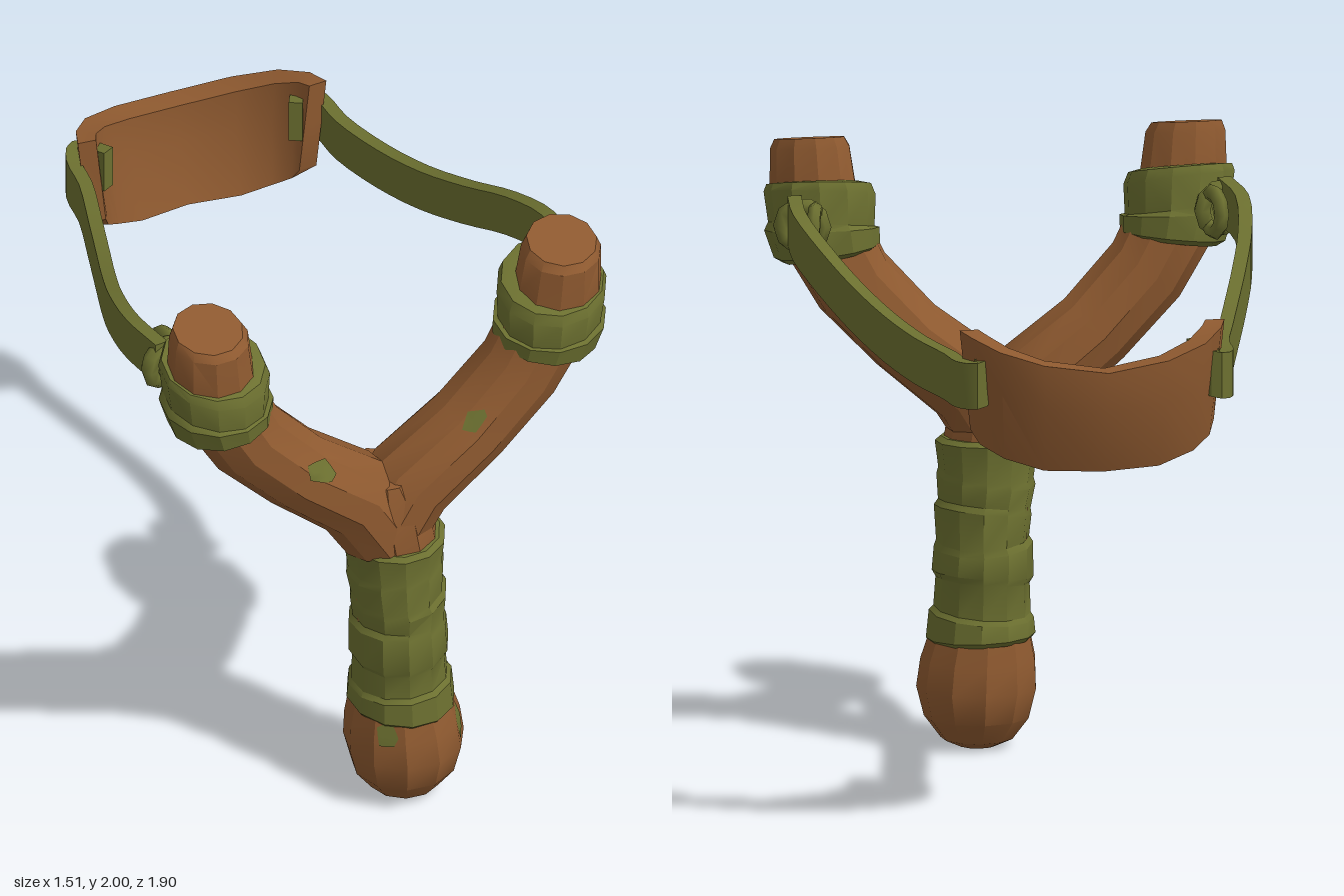
import * as THREE from 'three';
import { toCreasedNormals } from 'three/addons/utils/BufferGeometryUtils.js';

const wood = new THREE.MeshStandardMaterial({ color: 0x8f5a30 });
wood.name = 'brown wood';
const cloth = new THREE.MeshStandardMaterial({ color: 0x6c7030 });
cloth.name = 'olive cloth';

// Skin a list of rings (each an array of Vector3) and close both ends
function loft(rings, crease = 0.5) {
  const n = rings[0].length, pos = [], idx = [];
  rings.forEach(r => r.forEach(p => pos.push(p.x, p.y, p.z)));
  for (let i = 0; i < rings.length - 1; i++) {
    for (let j = 0; j < n; j++) {
      const a = i * n + j, b = i * n + (j + 1) % n;
      idx.push(a, a + n, b, b, a + n, b + n);
    }
  }
  [rings[0], rings[rings.length - 1]].forEach((r, end) => {
    const c = r.reduce((s, p) => s.add(p), new THREE.Vector3()).divideScalar(n);
    const k = pos.length / 3, o = end ? (rings.length - 1) * n : 0;
    pos.push(c.x, c.y, c.z);
    for (let j = 0; j < n; j++) {
      const a = o + j, b = o + (j + 1) % n;
      idx.push(k, ...(end ? [b, a] : [a, b]));
    }
  });
  const g = new THREE.BufferGeometry();
  g.setAttribute('position', new THREE.Float32BufferAttribute(pos, 3));
  g.setIndex(idx);
  return toCreasedNormals(g, crease);
}

// Elliptical ring: centre, radii, tilt in the xy plane, rise per unit of z
function ring([x, y, z, rx, rz, tilt = 0, slope = 0], sides = 11) {
  return Array.from({ length: sides }, (_, j) => {
    const t = (j / sides) * Math.PI * 2 + 0.2;
    const u = Math.cos(t) * rx, w = Math.sin(t) * rz;
    return new THREE.Vector3(x + u * Math.cos(tilt), y + u * Math.sin(tilt) + w * slope, z + w);
  });
}
const tubeOf = (rows, sides) => loft(rows.map(r => ring(r, sides)));

function add(parent, name, geometry, material) {
  const m = new THREE.Mesh(geometry, material);
  m.name = name;
  parent.add(m);
  return m;
}

// Flat ribbon with upright faces following a curve
function ribbon(points, halfThick, halfHeight, steps) {
  const curve = new THREE.CatmullRomCurve3(points.map(p => new THREE.Vector3(...p)));
  const up = new THREE.Vector3(0, 1, 0), rings = [];
  for (let i = 0; i <= steps; i++) {
    const p = curve.getPoint(i / steps);
    const n = curve.getTangent(i / steps).cross(up).normalize();
    rings.push([[1, -1], [1, 1], [-1, 1], [-1, -1]].map(([a, b]) =>
      p.clone().addScaledVector(n, a * halfThick).addScaledVector(up, b * halfHeight)));
  }
  return loft(rings);
}

// Thin stain laid on the front of a mesh
function stain(root, target, x, y, w, h, turn) {
  const pos = [], idx = [], n = 9, ray = new THREE.Raycaster();
  const put = (r, t) => {
    const u = Math.cos(t) * r * w, v = Math.sin(t) * r * h;
    const px = x + u * Math.cos(turn) - v * Math.sin(turn);
    const py = y + u * Math.sin(turn) + v * Math.cos(turn);
    ray.set(new THREE.Vector3(px, py, 3), new THREE.Vector3(0, 0, -1));
    const hit = ray.intersectObject(target)[0];
    pos.push(px, py, hit ? hit.point.z + 0.005 : 0.75);
  };
  put(0, 0);
  for (const r of [0.5, 1]) for (let j = 0; j < n; j++) put(r * (r === 1 && j % 2 ? 0.8 : 1), j / n * Math.PI * 2);
  for (let j = 0; j < n; j++) {
    const a = 1 + j, b = 1 + (j + 1) % n;
    idx.push(0, a, b, a, a + n, b, b, a + n, b + n);
  }
  const g = new THREE.BufferGeometry();
  g.setAttribute('position', new THREE.Float32BufferAttribute(pos, 3));
  g.setIndex(idx);
  g.computeVertexNormals();
  add(root, 'mossStain', g, cloth);
}

export function createModel() {
  const root = new THREE.Group();
  root.name = 'slingshot';

  // Handle with its rounded knob
  const handle = add(root, 'handle', tubeOf([
    [0.07, 0, 0.76, 0.06, 0.06], [0.07, 0.025, 0.76, 0.115, 0.115], [0.07, 0.095, 0.76, 0.168, 0.168],
    [0.07, 0.19, 0.76, 0.192, 0.192], [0.065, 0.28, 0.76, 0.184, 0.182], [0.06, 0.37, 0.755, 0.16, 0.165],
    [0.05, 0.5, 0.75, 0.13, 0.14], [0.04, 0.98, 0.74, 0.14, 0.155], [0.02, 1.12, 0.735, 0.14, 0.15],
    [0, 1.23, 0.735, 0.07, 0.12]]), wood);

  // Overlapping turns of cloth around the handle
  add(root, 'handleWrap', tubeOf([
    [0.06, 0.34, 0.755, 0.16, 0.17, -0.04, -0.04], [0.06, 0.355, 0.755, 0.172, 0.184, -0.04, -0.04],
    [0.058, 0.425, 0.755, 0.165, 0.178, 0.06, 0.05], [0.056, 0.44, 0.753, 0.153, 0.165, 0.06, 0.05],
    [0.055, 0.535, 0.75, 0.148, 0.163, 0.08, -0.06], [0.055, 0.555, 0.75, 0.16, 0.17, 0.08, -0.06],
    [0.052, 0.65, 0.75, 0.156, 0.167, -0.06, 0.08], [0.055, 0.67, 0.75, 0.146, 0.159, -0.06, 0.08],
    [0.055, 0.76, 0.748, 0.154, 0.17, 0.12, -0.08], [0.05, 0.78, 0.748, 0.146, 0.162, 0.12, -0.08],
    [0.045, 0.86, 0.746, 0.156, 0.17, 0.1, 0.05], [0.045, 0.88, 0.746, 0.15, 0.165, 0.1, 0.05],
    [0.043, 0.985, 0.743, 0.163, 0.175, 0, -0.05], [0.043, 1.0, 0.743, 0.145, 0.16, 0, -0.05]], 12), cloth);

  const arms = [];
  for (const s of [1, -1]) {
    const side = new THREE.Group();
    side.name = s > 0 ? 'leftSide' : 'rightSide';
    side.scale.x = s;
    root.add(side);

    // Fork arm
    arms.push(add(side, 'forkArm', tubeOf([
      [0, 1.0, 0.737, 0.135, 0.15, -0.35], [0.1, 1.17, 0.737, 0.142, 0.153, -0.78],
      [0.3, 1.33, 0.742, 0.132, 0.148, -0.8], [0.47, 1.51, 0.75, 0.136, 0.14, -0.7],
      [0.57, 1.69, 0.755, 0.145, 0.142, -0.3], [0.595, 1.82, 0.768, 0.138, 0.135, -0.05, -0.1],
      [0.602, 1.945, 0.775, 0.127, 0.126, 0, -0.15], [0.605, 1.975, 0.772, 0.112, 0.112, 0, -0.2]]), wood));

    // Two turns of cloth around the arm
    add(side, 'armWrap', tubeOf([
      [0.55, 1.6, 0.75, 0.145, 0.145, -0.15, -0.1], [0.555, 1.615, 0.75, 0.168, 0.168, -0.12, -0.1],
      [0.57, 1.685, 0.754, 0.182, 0.176, 0, -0.15], [0.572, 1.7, 0.754, 0.168, 0.166, 0.08, -0.2],
      [0.577, 1.8, 0.755, 0.177, 0.174, 0.08, -0.25], [0.58, 1.83, 0.755, 0.165, 0.162, 0.04, -0.25],
      [0.585, 1.835, 0.757, 0.13, 0.13, 0.02, -0.25]], 12), cloth);

    // Knot made of two loops
    const ringKnot = add(side, 'knotRing', new THREE.TorusGeometry(0.064, 0.029, 6, 10), cloth);
    ringKnot.position.set(0.67, 1.735, 0.575);
    ringKnot.rotation.y = -0.35;
    const loop = add(side, 'knotLoop', new THREE.TorusGeometry(0.052, 0.023, 6, 10), cloth);
    loop.position.set(0.64, 1.735, 0.52);
    loop.rotation.y = Math.PI / 2 - 0.3;
    loop.scale.y = 1.2;

    // Strap running back and threading through the pouch
    add(side, 'strap', ribbon([
      [0.69, 1.755, 0.6], [0.71, 1.735, 0.42], [0.675, 1.672, 0.2], [0.615, 1.597, 0], [0.55, 1.538, -0.2],
      [0.49, 1.505, -0.4], [0.437, 1.496, -0.6], [0.424, 1.498, -0.73], [0.39, 1.505, -0.79],
      [0.35, 1.52, -0.745], [0.32, 1.53, -0.69]], 0.022, 0.074, 30), cloth);
  }

  // Curved pouch: outer x, outer z, top, bottom, lean, inward shift in x and z
  const half = [[0, -0.955, 1.56, 1.225, 0.09, 0, 0.08], [0.2, -0.922, 1.585, 1.23, 0.085, 0.015, 0.08],
    [0.33, -0.855, 1.62, 1.265, 0.06, 0.04, 0.065], [0.4, -0.765, 1.65, 1.3, 0.03, 0.055, 0.035],
    [0.425, -0.69, 1.66, 1.34, 0, 0.06, 0.005]];
  const stations = [...half.slice(1).reverse().map(r => [-1, r]), ...half.map(r => [1, r])];
  add(root, 'pouch', loft(stations.map(([s, [x, z, top, bot, lean, ix, iz]]) => {
    const levels = [0, 0.4, 1];
    const pt = (t, inner) => new THREE.Vector3(
      s * (x * (1 - 0.08 * t) - inner * ix),
      top + (bot - top) * t,
      z + lean * t * t + inner * iz * (1 - 0.2 * t));
    return [...levels.map(t => pt(t, 0)), ...levels.reverse().map(t => pt(t, 1))];
  })), wood);

  // Moss stains on the wood
  root.updateMatrixWorld(true);
  stain(root, arms[1], -0.26, 1.385, 0.065, 0.035, -0.5);
  stain(root, arms[0], 0.27, 1.42, 0.05, 0.025, 0.8);
  stain(root, handle, -0.045, 0.31, 0.03, 0.05, -0.2);
  stain(root, handle, 0.215, 0.27, 0.018, 0.06, 0.1);
  return root;
}
